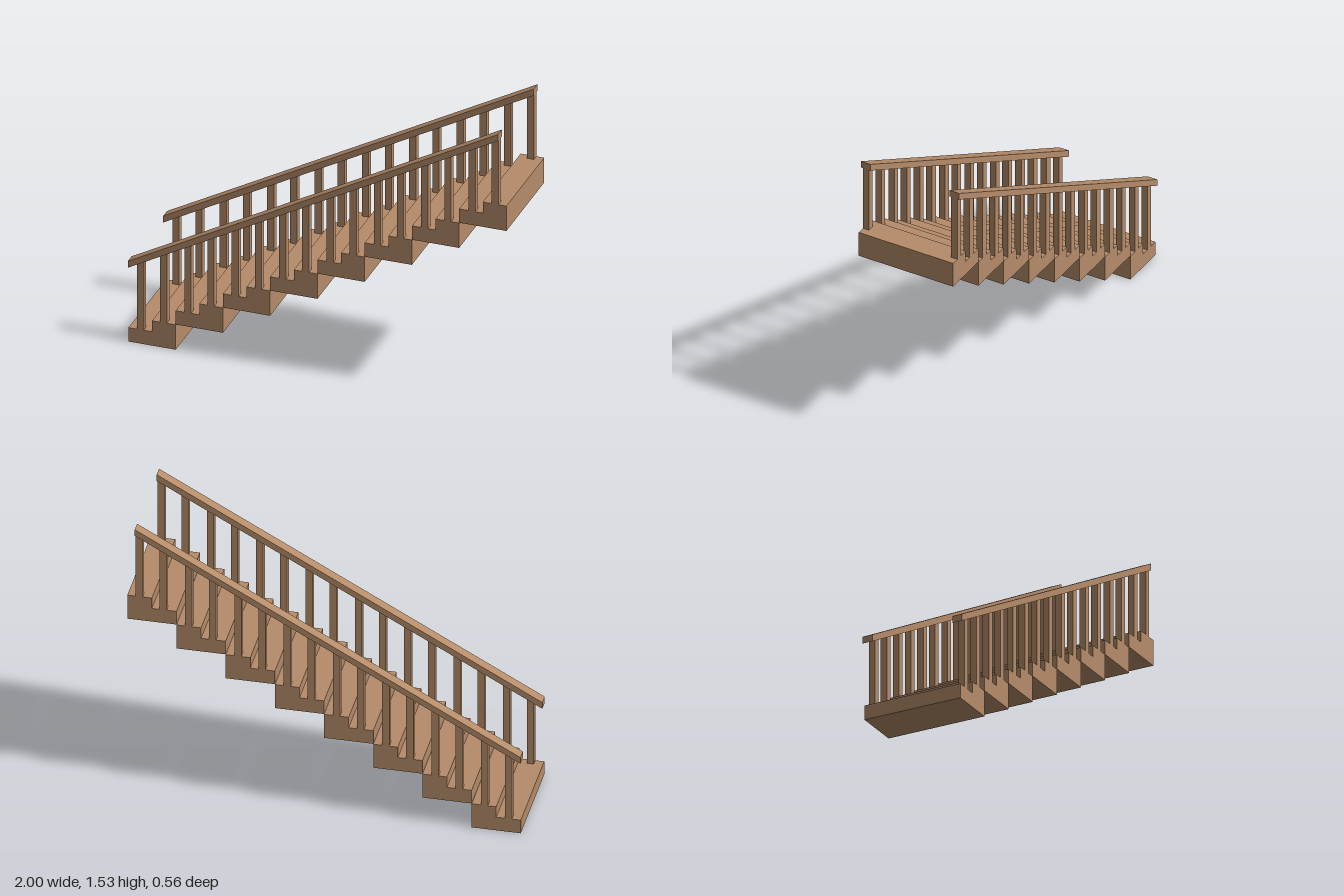
import * as THREE from 'three';

const wood = new THREE.MeshStandardMaterial({ color: 0xb58c69 });
wood.name = 'wood';

// Extrudes an x-y outline along z, centred on the given z
function slab(name, points, width, z) {
  const shape = new THREE.Shape(points.map(([x, y]) => new THREE.Vector2(x, y)));
  const geo = new THREE.ExtrudeGeometry(shape, { depth: width, bevelEnabled: false });
  geo.translate(0, 0, z - width / 2);
  const mesh = new THREE.Mesh(geo, wood);
  mesh.name = name;
  return mesh;
}

export function createModel() {
  const group = new THREE.Group();
  group.name = 'staircase';

  const rise = 0.142, run = 0.25, low = 0.078, high = 0.14;
  const railX0 = -1, railX1 = 0.96, railY0 = 0.42, railY1 = 1.498, railThick = 0.037;
  const railBottom = (x) => railY0 + (x - railX0) * (railY1 - railY0) / (railX1 - railX0);

  // Stair blocks, each with a low and a high tread
  for (let i = 0; i < 8; i++) {
    const x = -1 + i * run, y = i * rise;
    group.add(slab('stairBlock', [
      [x, y], [x + run, y], [x + run, y + high],
      [x + run / 2, y + high], [x + run / 2, y + low], [x, y + low],
    ], 0.542, 0));
  }

  // Sloped handrail and balusters on each side
  for (const side of [1, -1]) {
    const railing = new THREE.Group();
    railing.name = side > 0 ? 'frontRailing' : 'backRailing';
    const z = side * 0.2535;

    railing.add(slab('handrail', [
      [railX0, railY0], [railX1, railY1],
      [railX1, railY1 + railThick], [railX0, railY0 + railThick],
    ], 0.055, z));

    for (let i = 0; i < 16; i++) {
      const step = Math.floor(i / 2), upper = i % 2;
      const x = -0.937 + step * 0.2507 + upper * 0.122, h = 0.018;
      const base = step * rise + (upper ? high : low) - 0.01;
      // Top follows the slope, tucked into the rail
      railing.add(slab('baluster', [
        [x - h, base], [x + h, base],
        [x + h, railBottom(x + h) + 0.01], [x - h, railBottom(x - h) + 0.01],
      ], 0.035, z));
    }
    group.add(railing);
  }
  return group;
}
